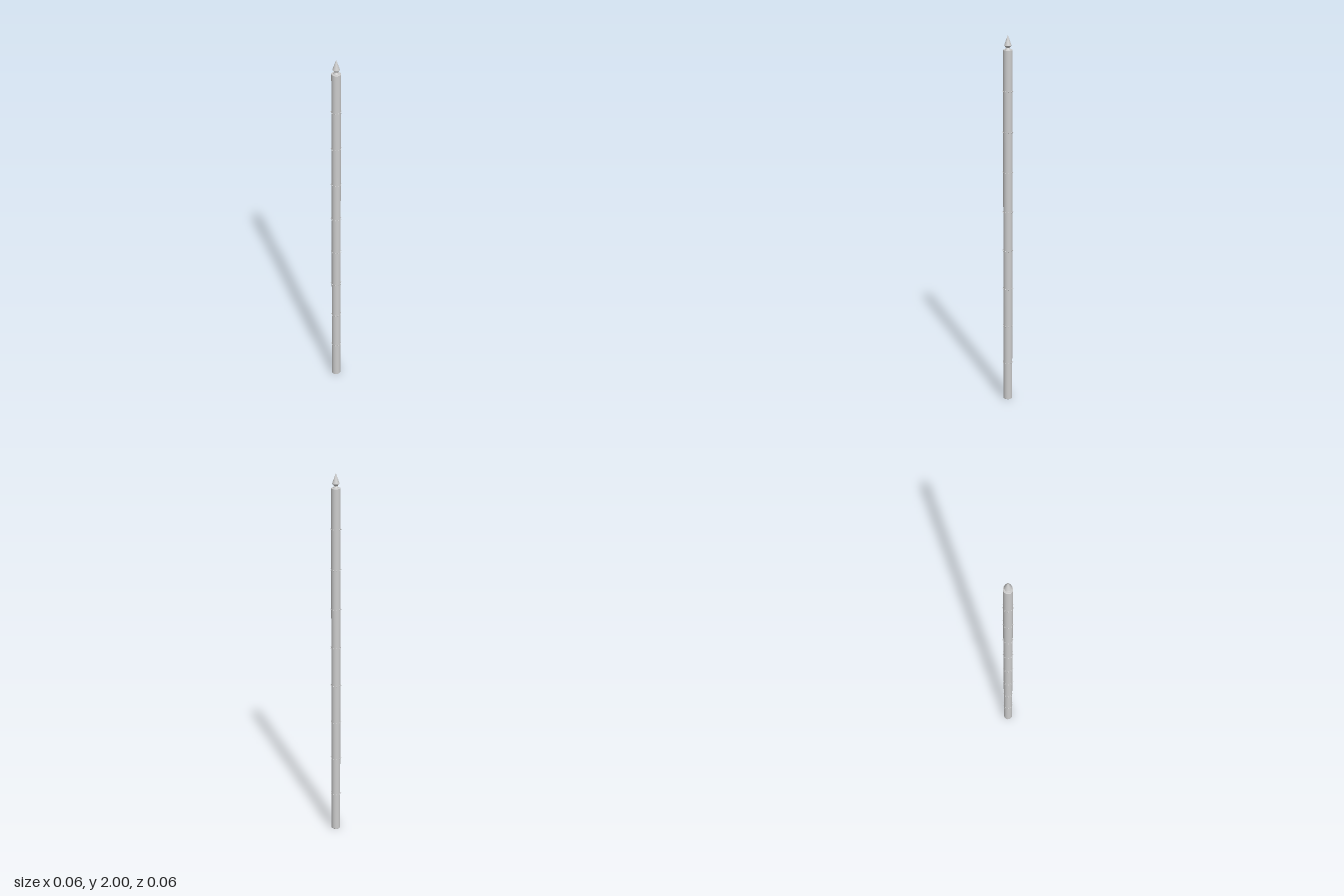
import * as THREE from 'three';

const SHAFT_R = 0.024, SHAFT_H = 1.925, SEGMENTS = 9, SPIKES = 9;

export function createModel() {
  const model = new THREE.Group();
  model.name = 'spikedPole';
  const material = new THREE.MeshStandardMaterial({ color: 0xcccccc });
  const add = (parent, name, geometry) => {
    const mesh = new THREE.Mesh(geometry, material);
    mesh.name = name;
    parent.add(mesh);
    return mesh;
  };

  // Long round shaft with a slightly chamfered top and bottom
  const chamfer = 0.002;
  add(model, 'shaft', new THREE.CylinderGeometry(SHAFT_R, SHAFT_R, SHAFT_H - 2 * chamfer, 24, 1, true))
    .position.y = SHAFT_H / 2;
  add(model, 'topCap', new THREE.CylinderGeometry(SHAFT_R - chamfer, SHAFT_R, chamfer, 24))
    .position.y = SHAFT_H - chamfer / 2;
  add(model, 'bottomCap', new THREE.CylinderGeometry(SHAFT_R, SHAFT_R - chamfer, chamfer, 24))
    .position.y = chamfer / 2;

  // Finial: flared foot, narrow neck and pointed head
  const finial = new THREE.Group();
  finial.name = 'finial';
  finial.position.y = SHAFT_H;
  model.add(finial);
  const taper = (name, top, bottom, y0, y1) =>
    add(finial, name, new THREE.CylinderGeometry(top, bottom, y1 - y0, 24)).position.y = (y0 + y1) / 2;
  taper('finialFoot', 0.009, 0.015, 0, 0.01);
  taper('finialNeck', 0.019, 0.009, 0.01, 0.021);
  taper('finialPoint', 0, 0.019, 0.021, 2 - SHAFT_H);

  // Evenly spaced rings of small spikes pointing outwards
  const spike = new THREE.ConeGeometry(0.005, 0.01, 10);
  spike.rotateZ(Math.PI / 2);
  spike.translate(-SHAFT_R - 0.0015, 0, 0);
  for (let i = 1; i < SEGMENTS; i++) {
    const ring = new THREE.Group();
    ring.name = `spikeRing${i}`;
    ring.position.y = SHAFT_H * i / SEGMENTS;
    for (let j = 0; j < SPIKES; j++) {
      add(ring, 'spike', spike).rotation.y = j * 2 * Math.PI / SPIKES;
    }
    model.add(ring);
  }
  return model;
}
